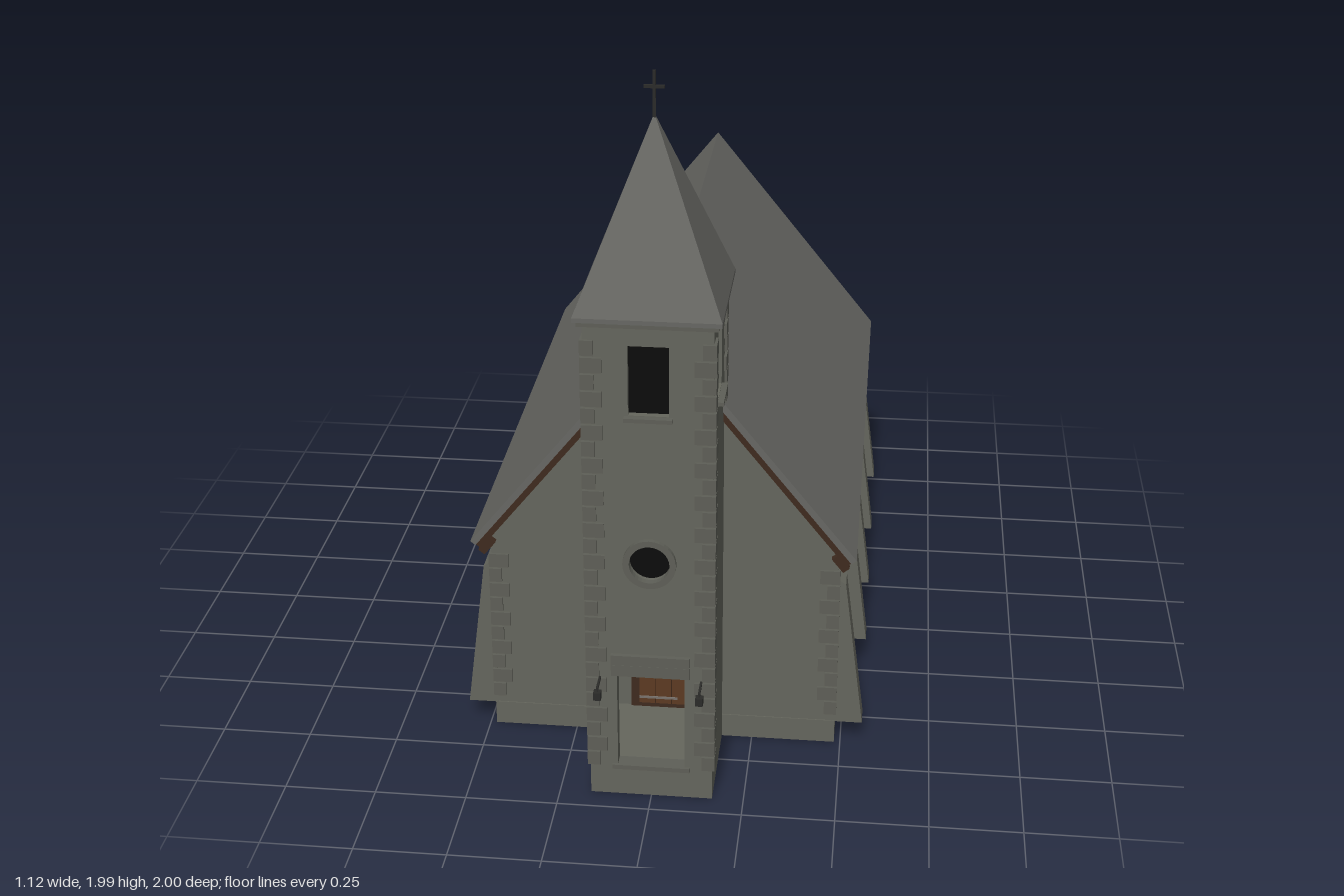
import * as THREE from 'three';

export function createModel() {
  const church = new THREE.Group();
  church.name = 'church';
  const mat = (name, color) => {
    const m = new THREE.MeshStandardMaterial({ color });
    m.name = name;
    return m;
  };
  const wallMat = mat('stone wall', 0x65665d);
  const quoinMat = mat('cut stone', 0x5e5f57);
  const roofMat = mat('slate roof', 0x676763);
  const timber = mat('dark timber', 0x3f2b1f);
  const doorMat = mat('door wood', 0x5c3a22);
  const glass = mat('dark opening', 0x0c0c0c);
  const iron = mat('iron', 0x2b2b29);
  const hingeMat = mat('hinge metal', 0x77706a);

  const group = (name, parent = church) => {
    const g = new THREE.Group();
    g.name = name;
    parent.add(g);
    return g;
  };
  const add = (name, geo, m, parent = church) => {
    const mesh = new THREE.Mesh(geo, m);
    mesh.name = name;
    parent.add(mesh);
    return mesh;
  };
  // box given by its min and max on each axis
  const box = (name, x0, x1, y0, y1, z0, z1, m, parent) => {
    const b = add(name, new THREE.BoxGeometry(x1 - x0, y1 - y0, z1 - z0), m, parent);
    b.position.set((x0 + x1) / 2, (y0 + y1) / 2, (z0 + z1) / 2);
    return b;
  };
  const poly = pts => new THREE.Shape(pts.map(p => new THREE.Vector2(p[0], p[1])));
  const rect = (x0, x1, y0, y1) => poly([[x0, y0], [x1, y0], [x1, y1], [x0, y1]]);
  const prism = (shape, z0, z1) =>
    new THREE.ExtrudeGeometry(shape, { depth: z1 - z0, bevelEnabled: false, curveSegments: 16 })
      .translate(0, 0, z0);

  // Nave: gabled body above a hollow plinth
  const nave = group('nave');
  add('naveWalls', prism(poly([[-0.48, 0.06], [0.48, 0.06], [0.48, 0.627], [0, 1.225], [-0.48, 0.627]]), -0.96, 0.63), wallMat, nave);
  const plinth = rect(-0.483, 0.483, -0.633, 0.963);
  plinth.holes.push(rect(-0.45, 0.45, -0.6, 0.93));
  add('navePlinth', prism(plinth, 0, 0.07).rotateX(-Math.PI / 2), wallMat, nave);

  // Roof: two chevron layers, slate over timber, cut square at the eaves
  const roofLayer = (name, t0, t1, z0, z1, m) => {
    const eave = t => [0.53 - 0.78 * t, 0.605 - 0.626 * t];
    const ridge = t => [0, 1.265 - t / 0.626];
    const flip = p => [-p[0], p[1]];
    add(name, prism(poly([eave(t1), eave(t0), ridge(t0), flip(eave(t0)), flip(eave(t1)), ridge(t1)]), z0, z1), m);
  };
  roofLayer('roofSlates', 0, 0.018, -1, 0.665, roofMat);
  roofLayer('roofTimbers', 0.018, 0.036, -0.992, 0.66, timber);

  // Rafter ends and buttresses along both eaves
  for (const s of [-1, 1]) {
    const rafters = group('rafterEnds');
    for (let i = 0; i < 18; i++) {
      const r = box('rafterEnd', -0.025, 0.025, -0.011, 0.011, -0.009, 0.009, timber, rafters);
      r.position.set(s * 0.487, 0.586, 0.645 - i * 0.0953);
      r.rotation.z = -s * 0.894;
    }
    for (const z of [0.597, 0.152, -0.186, -0.543, -0.918]) {
      const g = prism(poly([[0.475, 0.068], [0.56, 0.068], [0.503, 0.51], [0.475, 0.53]]), -0.034, 0.034);
      if (s < 0) g.rotateY(Math.PI);
      add('buttress', g, wallMat, nave).position.z = z;
    }
  }

  // Windows with timber frame, mullion and stone sill, facing local +z
  const framedWindow = (name, w, h) => {
    const g = group(name);
    const a = w / 2, b = h / 2;
    box('glass', -a, a, -b, b, -0.003, 0.003, glass, g);
    for (const s of [-1, 1]) box('jamb', s * a - 0.005, s * a + 0.005, -b, b, -0.003, 0.008, timber, g);
    box('lintel', -a - 0.012, a + 0.012, b - 0.004, b + 0.01, -0.003, 0.012, timber, g);
    box('mullion', -0.003, 0.003, -b, b, -0.003, 0.005, iron, g);
    box('sill', -a - 0.018, a + 0.018, -b - 0.01, -b, -0.003, 0.016, quoinMat, g);
    return g;
  };
  for (const s of [-1, 1]) for (const z of [0.322, -0.016, -0.355]) {
    const w = framedWindow('sideWindow', 0.08, 0.24);
    w.position.set(s * 0.48, 0.412, z);
    w.rotation.y = s * Math.PI / 2;
  }
  const rear = framedWindow('rearWindow', 0.06, 0.11);
  rear.position.set(-0.16, 0.305, -0.96);
  rear.rotation.y = Math.PI;
  box('crossBar', -0.03, 0.03, -0.003, 0.003, -0.003, 0.005, timber, rear);

  // Tower: four pierced walls around a hollow shaft
  const TZ = 0.77, H = 0.165;
  const tower = group('tower');
  tower.position.z = TZ;
  for (let i = 0; i < 4; i++) {
    const side = group(['towerFront', 'towerLeft', 'towerBack', 'towerRight'][i], tower);
    side.rotation.y = i * Math.PI / 2;
    const shape = rect(-H, H, i === 2 ? 1 : 0, 1.39);
    shape.holes.push(rect(-0.052, 0.052, 1.14, 1.33));
    if (i === 0) {
      shape.holes.push(rect(-0.09, 0.09, 0.085, 0.375));
      const round = new THREE.Path();
      round.absarc(0, 0.72, 0.054, 0, Math.PI * 2);
      shape.holes.push(round);
    }
    add('towerWall', prism(shape, H - 0.035, H), wallMat, side);
    box('belfryOpening', -0.06, 0.06, 1.13, 1.34, H - 0.024, H - 0.018, glass, side);
    box('belfrySill', -0.062, 0.062, 1.127, 1.138, H - 0.01, H + 0.016, quoinMat, side);
  }
  box('vestibuleFloor', -0.14, 0.14, 0.06, 0.085, -0.15, 0.15, wallMat, tower);

  // Round window
  const rose = group('roundWindow', tower);
  rose.position.set(0, 0.72, H);
  add('roundGlass', new THREE.CylinderGeometry(0.06, 0.06, 0.006, 24).rotateX(Math.PI / 2), glass, rose).position.z = -0.02;
  const ring = new THREE.Shape().absarc(0, 0, 0.07, 0, Math.PI * 2);
  ring.holes.push(new THREE.Path().absarc(0, 0, 0.053, 0, Math.PI * 2));
  add('roundFrame', prism(ring, -0.005, 0.013), quoinMat, rose);

  // Entrance: door at the back of the porch, stone lintel in front
  const entry = group('entrance');
  box('doorFrame', -0.092, 0.092, 0.085, 0.385, 0.625, 0.636, timber, entry);
  for (const x of [-0.046, 0, 0.046])
    box('doorPlank', x - 0.022, x + 0.022, 0.102, 0.362, 0.63, 0.644, doorMat, entry);
  for (const y of [0.122, 0.332]) box('hinge', -0.068, 0.04, y - 0.003, y + 0.003, 0.643, 0.648, hingeMat, entry);
  box('doorHandle', 0.053, 0.062, 0.2, 0.218, 0.643, 0.652, hingeMat, entry);
  box('doorLintel', -0.105, 0.105, 0.377, 0.41, 0.93, 0.943, quoinMat, entry);
  box('doorLintelTop', -0.105, 0.105, 0.413, 0.442, 0.93, 0.947, quoinMat, entry);
  box('threshold', -0.105, 0.105, 0.083, 0.096, 0.9, 0.943, quoinMat, entry);

  // Alternating corner stones; sx and sz point outward from the corner
  const quoins = (x, z, sx, sz, y0, y1) => {
    const g = group('cornerStones');
    const pitch = 0.0465;
    for (let i = 0; y0 + (i + 1) * pitch <= y1; i++) {
      const lx = i % 2 ? 0.055 : 0.035, lz = i % 2 ? 0.035 : 0.055;
      const b = add('cornerStone', new THREE.BoxGeometry(lx, 0.041, lz), quoinMat, g);
      b.position.set(x + sx * (0.007 - lx / 2), y0 + (i + 0.5) * pitch, z + sz * (0.007 - lz / 2));
    }
  };
  for (const s of [-1, 1]) {
    quoins(s * H, TZ + H, s, 1, 0.09, 1.37);
    quoins(s * H, TZ - H, s, -1, 1.05, 1.37);
    quoins(s * 0.48, 0.63, s, 1, 0.09, 0.57);
    quoins(s * 0.48, -0.96, s, -1, 0.09, 0.57);
  }

  // Spire, cornice and finial cross
  box('cornice', -0.178, 0.178, 1.382, 1.398, -0.178, 0.178, quoinMat, tower);
  box('spireEaves', -0.187, 0.187, 1.396, 1.408, -0.187, 0.187, roofMat, tower);
  const spire = new THREE.ConeGeometry(0.187 * Math.SQRT2, 0.474, 4, 1).rotateY(Math.PI / 4).toNonIndexed();
  spire.computeVertexNormals();
  add('spire', spire, roofMat, tower).position.y = 1.645;
  const cross = group('finialCross', tower);
  box('crossUpright', -0.004, 0.004, 1.86, 1.99, -0.004, 0.004, iron, cross);
  box('crossArm', -0.026, 0.026, 1.945, 1.953, -0.004, 0.004, iron, cross);

  // Lanterns beside the entrance
  for (const x of [-0.135, 0.135]) {
    const lantern = group('lantern');
    box('lanternArm', x - 0.003, x + 0.003, 0.364, 0.37, 0.935, 0.993, iron, lantern);
    box('lanternHook', x - 0.002, x + 0.002, 0.355, 0.37, 0.988, 0.992, iron, lantern);
    box('lanternBody', x - 0.01, x + 0.01, 0.334, 0.357, 0.98, 1, iron, lantern);
  }
  return church;
}
